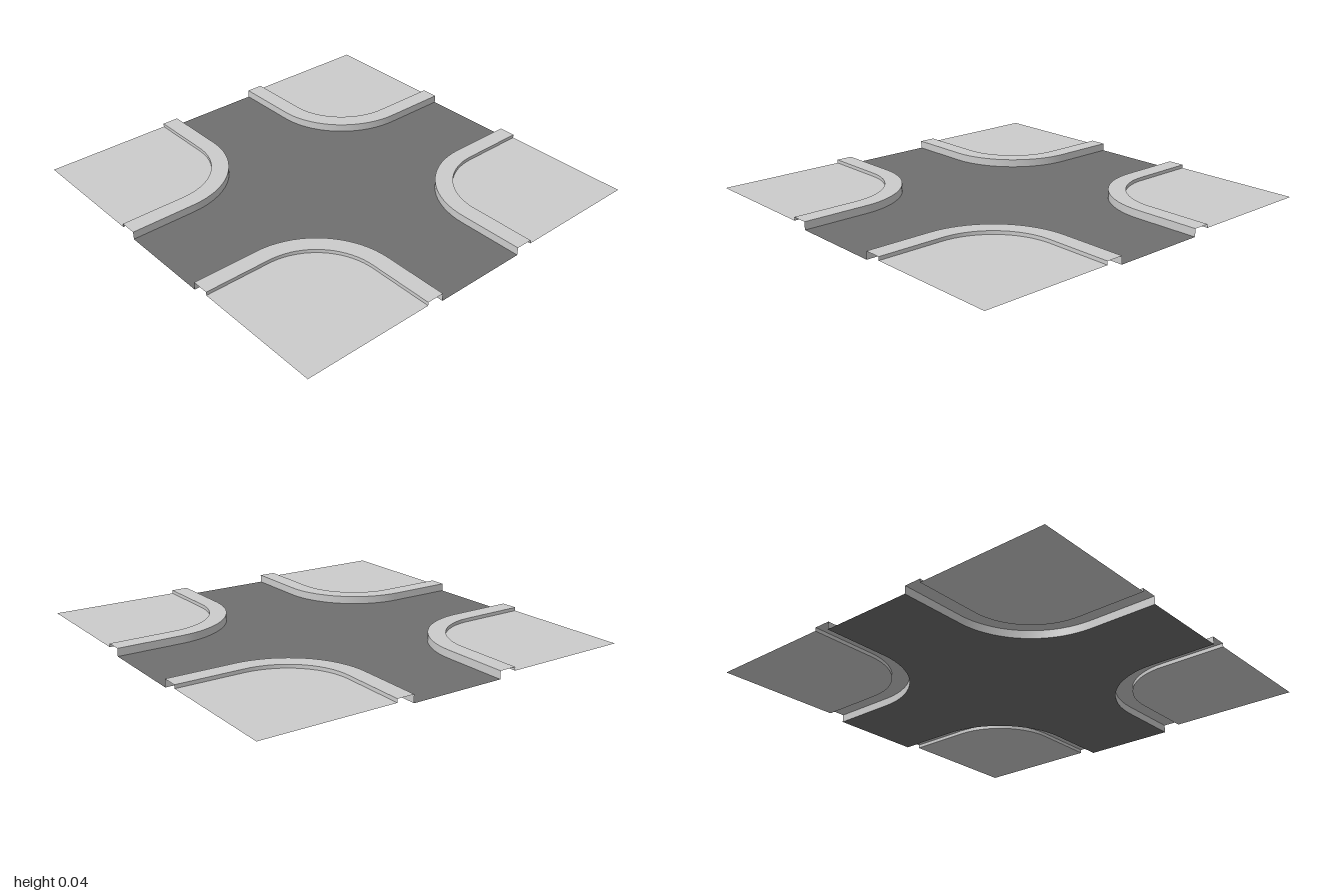
import * as THREE from 'three';
import { toCreasedNormals } from 'three/addons/utils/BufferGeometryUtils.js';

// Plan axes counter-clockwise from above (+x, -z, -x, +z), written as (x, -z),
// with the distance from the centre to the road edge on each side.
const AXES = [[1, 0], [0, 1], [-1, 0], [0, -1]];
const EDGE = [0.241, 0.249, 0.249, 0.241];
const ARC_CENTRE = 0.66;
const ARC_STEPS = 18;
const CURB_WIDTH = 0.088;
const CURB_TOP = 0.04;
const WALK_Y = 0.022;

// Map local corner coordinates (a, b) of quadrant k to the plan
function place(k, a, b) {
  const u = AXES[k], v = AXES[(k + 1) % 4];
  return new THREE.Vector2(u[0] * a + v[0] * b, u[1] * a + v[1] * b);
}

// Rounded corner line, moved away from the road by d
function cornerPath(k, d) {
  const ea = EDGE[k] + d, eb = EDGE[(k + 1) % 4] + d;
  const points = [place(k, 1, eb)];
  for (let i = 0; i <= ARC_STEPS; i++) {
    const t = (i / ARC_STEPS) * Math.PI / 2;
    points.push(place(k,
      ARC_CENTRE - (ARC_CENTRE - ea) * Math.sin(t),
      ARC_CENTRE - (ARC_CENTRE - eb) * Math.cos(t)));
  }
  points.push(place(k, ea, 1));
  return points;
}

// Flat horizontal sheet from plan points
function sheet(points, y) {
  return new THREE.ShapeGeometry(new THREE.Shape(points)).rotateX(-Math.PI / 2).translate(0, y, 0);
}

// Open curb section swept along the corner line
function curbGeometry(k) {
  const profile = [[0, 0], [0, CURB_TOP], [CURB_WIDTH, CURB_TOP], [CURB_WIDTH, WALK_Y]];
  const lines = profile.map(([d]) => cornerPath(k, d));
  const n = profile.length, positions = [], index = [];
  for (let i = 0; i < lines[0].length; i++) {
    profile.forEach(([, y], j) => positions.push(lines[j][i].x, y, -lines[j][i].y));
    if (i === 0) continue;
    for (let j = 0; j < n - 1; j++) {
      const a = (i - 1) * n + j, d = i * n + j;
      index.push(a, a + 1, d + 1, a, d + 1, d);
    }
  }
  const geometry = new THREE.BufferGeometry();
  geometry.setAttribute('position', new THREE.Float32BufferAttribute(positions, 3));
  geometry.setIndex(index);
  return toCreasedNormals(geometry, 0.6);
}

export function createModel() {
  const model = new THREE.Group();
  model.name = 'crossroads';
  const paving = new THREE.MeshStandardMaterial({ color: 0xcccccc, side: THREE.DoubleSide });
  const asphalt = new THREE.MeshStandardMaterial({ color: 0x6f6f6f, side: THREE.DoubleSide });

  function add(name, geometry, material) {
    const mesh = new THREE.Mesh(geometry, material);
    mesh.name = name;
    model.add(mesh);
  }

  // Cross-shaped road surface
  add('road', sheet([0, 1, 2, 3].flatMap((k) => cornerPath(k, 0)), 0), asphalt);

  // Curb and sidewalk in each corner
  ['backLeft', 'backRight', 'frontRight', 'frontLeft'].forEach((corner, k) => {
    add(corner + 'Curb', curbGeometry(k), paving);
    add(corner + 'Sidewalk', sheet([...cornerPath(k, CURB_WIDTH), place(k, 1, 1)], WALK_Y), paving);
  });
  return model;
}
